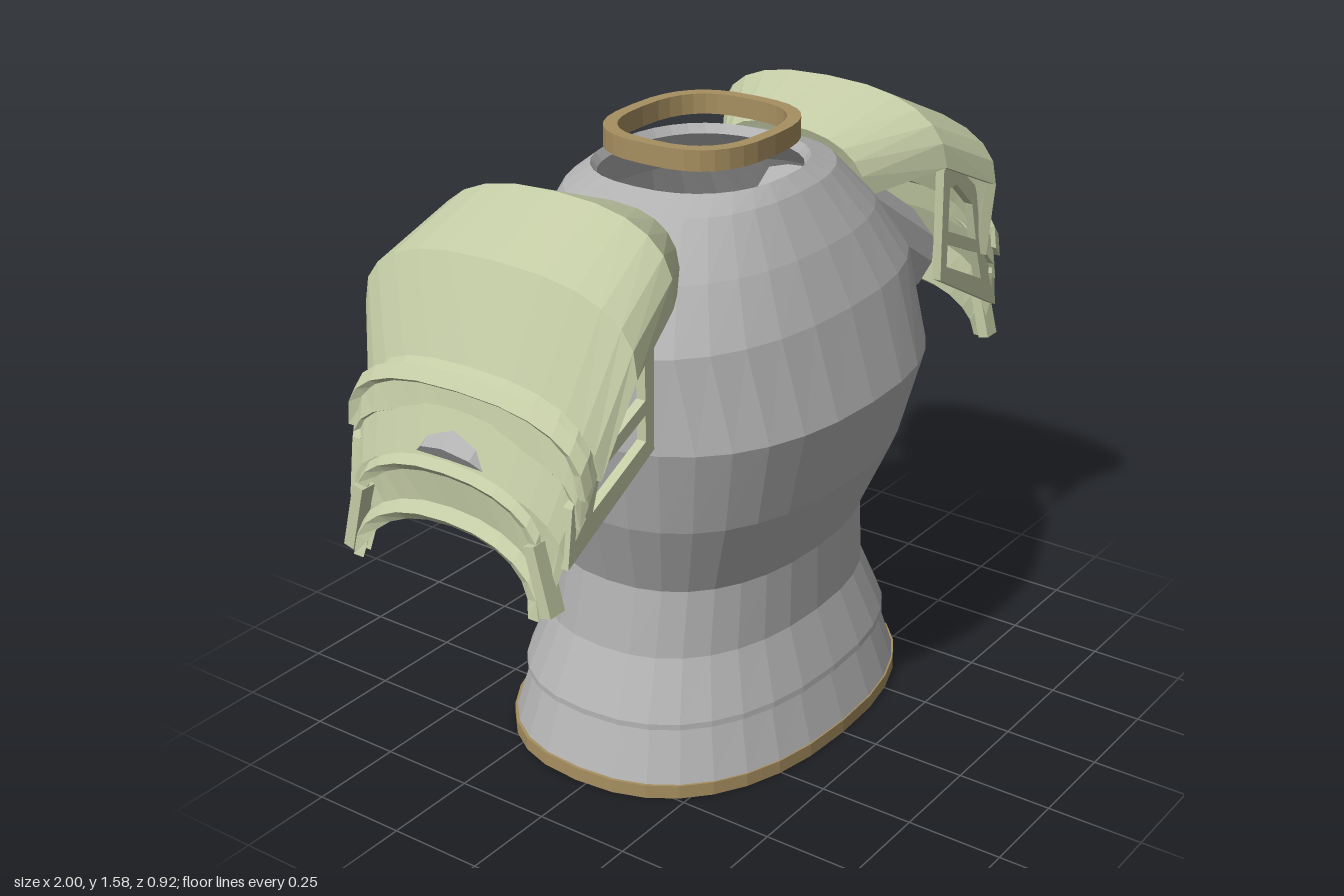
import * as THREE from 'three';

const material = (name, color) => {
  const m = new THREE.MeshStandardMaterial({ color, flatShading: true, side: THREE.DoubleSide });
  m.name = name;
  return m;
};

const ZC = -0.048; // depth of the shoulder axis

// Skins a list of closed loops (each a list of [x, y, z]); shells also get end caps.
function loft(loops, caps = false) {
  const n = loops[0].length, idx = [];
  for (let i = 0; i < loops.length - 1; i++) {
    for (let j = 0; j < n; j++) {
      const a = i * n + j, b = i * n + (j + 1) % n, c = a + n, d = b + n;
      idx.push(a, c, b, b, c, d);
    }
  }
  if (caps) {
    const e = (loops.length - 1) * n;
    for (let j = 0; j < n / 2 - 1; j++) {
      const a = j, b = j + 1, ai = n - 1 - j, bi = n - 2 - j;
      idx.push(a, b, ai, b, bi, ai);
      idx.push(e + a, e + ai, e + b, e + b, e + ai, e + bi);
    }
  }
  const g = new THREE.BufferGeometry();
  g.setAttribute('position', new THREE.Float32BufferAttribute(loops.flat(2), 3));
  g.setIndex(idx);
  const flat = g.toNonIndexed();
  flat.computeVertexNormals();
  return flat;
}

const power = (v, n) => Math.sign(v) * Math.pow(Math.abs(v), 2 / n);

// Horizontal rounded loop: height, half width, front z, back z.
function oval([y, w, front, back], n = 2.35, segments = 32) {
  return Array.from({ length: segments }, (_, i) => {
    const t = (i / segments) * Math.PI * 2;
    return [w * power(Math.cos(t), n), y, (front + back) / 2 + ((front - back) / 2) * power(Math.sin(t), n)];
  });
}

// Flat trim band with an open middle.
function band(y0, y1, w, front, back, t, n) {
  const rows = [[y0, 0], [y1, 0], [y1, t], [y0, t], [y0, 0]];
  return loft(rows.map(([y, s]) => oval([y, w - s, front - s, back + s], n)));
}

// Arched plate with thickness. Station: crown x, y, end x, y, half depth.
function archPlate(stations, thickness, n = 2.5, segments = 12) {
  const loops = stations.map(([tx, ty, ex, ey, hw], k) => {
    const p = stations[Math.max(k - 1, 0)], q = stations[Math.min(k + 1, stations.length - 1)];
    const dx = q[0] - p[0], dy = q[1] - p[1], len = Math.hypot(dx, dy);
    const arc = (cx, cy, h) => Array.from({ length: segments + 1 }, (_, i) => {
      const t = (i / segments) * Math.PI, v = power(Math.max(Math.sin(t), 0), n);
      return [ex + (cx - ex) * v, ey + (cy - ey) * v, ZC + h * power(Math.cos(t), n)];
    });
    const inner = arc(tx + (dy / len) * thickness, ty - (dx / len) * thickness, hw - thickness);
    return [...arc(tx, ty, hw), ...inner.reverse()];
  });
  return loft(loops, true);
}

// Flat side frame with two slots.
function frameGeometry() {
  const pts = (list) => list.map(([x, y]) => new THREE.Vector2(x, y));
  const shape = new THREE.Shape(pts([[0.635, 1.03], [0.63, 1.34], [0.69, 1.34], [0.8, 1.25], [0.87, 1.1], [0.93, 1.0], [0.95, 0.86]]));
  shape.holes.push(
    new THREE.Path(pts([[0.665, 1.16], [0.665, 1.28], [0.7, 1.28], [0.79, 1.2], [0.82, 1.09]])),
    new THREE.Path(pts([[0.665, 1.06], [0.665, 1.125], [0.83, 1.05], [0.86, 0.965]])));
  return new THREE.ExtrudeGeometry(shape, { depth: 0.025, bevelEnabled: false });
}

export function createModel() {
  const model = new THREE.Group();
  model.name = 'shoulderArmour';
  const cloth = material('greyCloth', 0xb3b3b4);
  const plate = material('paleGreenPlate', 0xc3cba5);
  const trim = material('tanTrim', 0xa78f60);
  const add = (parent, name, geometry, mat) => {
    const mesh = new THREE.Mesh(geometry, mat);
    mesh.name = name;
    parent.add(mesh);
    return mesh;
  };

  // Lower skirt tier
  add(model, 'lowerSkirt', loft([
    [0.03, 0.57, 0.398, -0.456], [0.18, 0.522, 0.352, -0.412],
  ].map((r) => oval(r))), cloth);

  // Torso from the overlapping upper skirt to the neck opening
  add(model, 'torso', loft([
    [0.178, 0.522, 0.352, -0.412], [0.175, 0.538, 0.368, -0.428], [0.19, 0.538, 0.366, -0.426],
    [0.34, 0.47, 0.312, -0.37], [0.52, 0.447, 0.31, -0.345], [0.73, 0.53, 0.4, -0.375],
    [0.96, 0.583, 0.46, -0.405], [1.19, 0.588, 0.39, -0.405], [1.33, 0.49, 0.32, -0.385],
    [1.45, 0.37, 0.24, -0.335], [1.483, 0.27, 0.2, -0.3], [1.46, 0.255, 0.185, -0.285],
  ].map((r) => oval(r))), cloth);

  // Trim at hem and neck
  add(model, 'hemTrim', band(0, 0.036, 0.576, 0.4, -0.46, 0.02, 2.35), trim);
  add(model, 'neckRing', band(1.528, 1.58, 0.234, 0.168, -0.258, 0.032, 2.7), trim);

  // Each side: arm stub, layered shoulder plates, ribs and slotted frames
  for (const side of [1, -1]) {
    const arm = new THREE.Group();
    arm.name = side > 0 ? 'leftShoulder' : 'rightShoulder';
    arm.scale.x = side;
    model.add(arm);

    const from = new THREE.Vector3(0.45, 1.255, ZC), to = new THREE.Vector3(0.908, 0.96, ZC);
    const dir = to.clone().sub(from);
    const stub = add(arm, 'armStub', new THREE.CylinderGeometry(0.14, 0.14, dir.length(), 12), cloth);
    stub.position.copy(from).add(to).multiplyScalar(0.5);
    stub.quaternion.setFromUnitVectors(new THREE.Vector3(0, 1, 0), dir.normalize());

    add(arm, 'upperPlate', archPlate([
      [0.36, 1.475, 0.41, 1.31, 0.225], [0.565, 1.555, 0.595, 1.36, 0.35],
      [0.78, 1.455, 0.785, 1.27, 0.393], [0.878, 1.22, 0.85, 1.04, 0.34],
    ], 0.03), plate);
    add(arm, 'middlePlate', archPlate([
      [0.875, 1.235, 0.845, 1.06, 0.33], [0.915, 1.205, 0.895, 1.0, 0.34],
      [0.93, 1.12, 0.92, 0.95, 0.335],
    ], 0.025), plate);
    add(arm, 'middleRib', archPlate([
      [0.9, 1.225, 0.89, 1.05, 0.348], [0.925, 1.195, 0.915, 1.02, 0.348],
    ], 0.03), plate);
    add(arm, 'lowerPlate', archPlate([
      [0.925, 1.15, 0.9, 0.97, 0.335], [0.965, 1.03, 0.945, 0.87, 0.31],
      [0.95, 0.9, 0.97, 0.745, 0.272],
    ], 0.022, 2.2), plate);
    add(arm, 'lowerRib', archPlate([
      [0.965, 1.04, 0.97, 0.9, 0.27], [0.985, 1.02, 0.985, 0.88, 0.27],
    ], 0.025, 2.2), plate);
    add(arm, 'lowerRim', archPlate([
      [0.96, 0.925, 0.985, 0.765, 0.277], [0.985, 0.9, 1.0, 0.74, 0.275],
    ], 0.03, 2.2), plate);

    // Frames and upright tip strips, front and back
    for (const z of [1, -1]) {
      const end = z > 0 ? 'front' : 'back';
      add(arm, end + 'Frame', frameGeometry(), plate).position.z = ZC + z * 0.31 - 0.0125;
      const strip = add(arm, end + 'TipStrip', new THREE.BoxGeometry(0.05, 0.17, 0.03), plate);
      strip.position.set(0.972, 0.835, ZC + z * 0.272);
      strip.rotation.x = -z * 0.25;
    }
  }
  return model;
}
